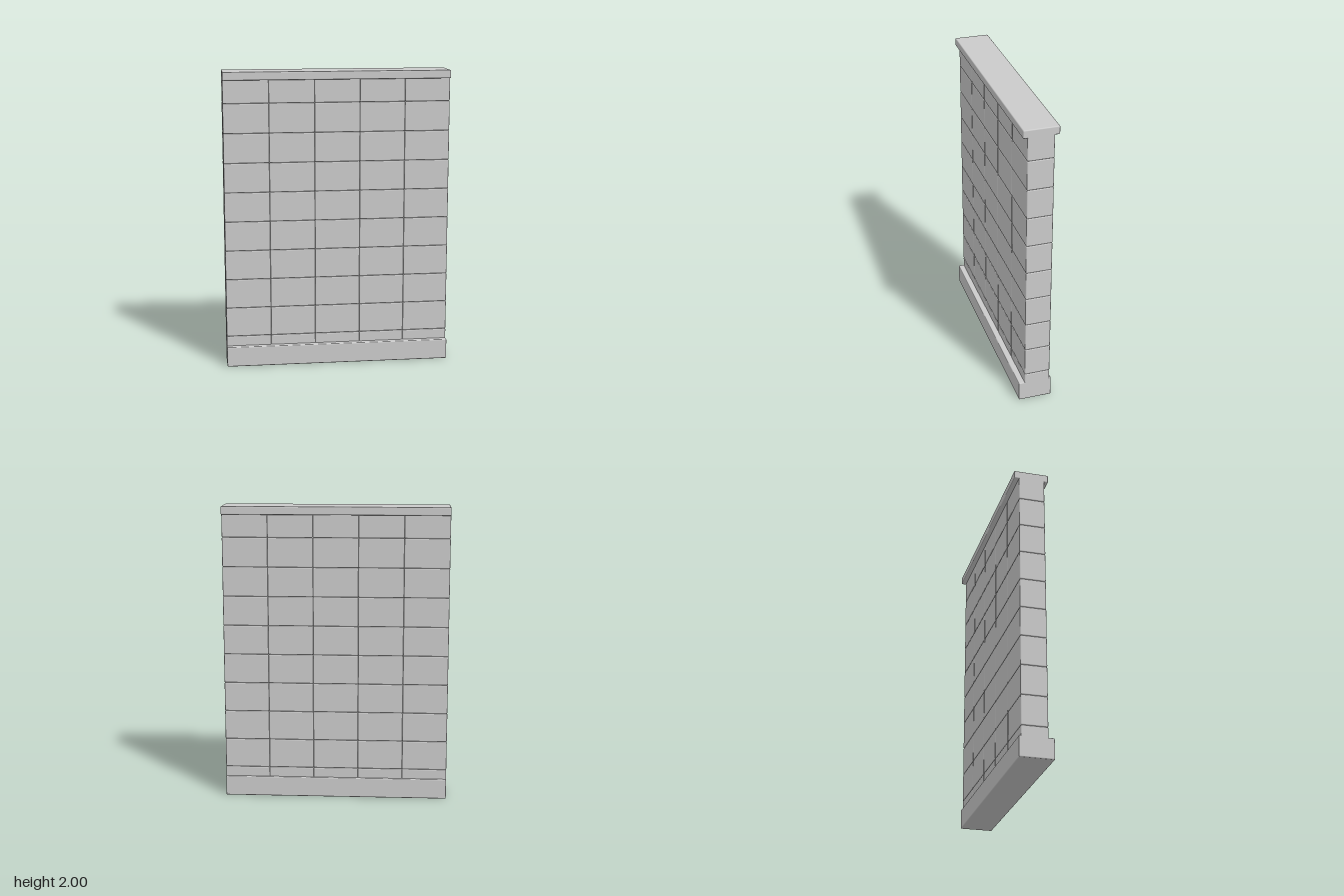
import * as THREE from 'three';
import { RoundedBoxGeometry } from 'three/addons/geometries/RoundedBoxGeometry.js';

const WIDTH = 1.52, COLUMNS = 5, ROWS = 10;

export function createModel() {
  const wall = new THREE.Group();
  wall.name = 'blockWall';
  const material = new THREE.MeshStandardMaterial({ color: 0xcccccc });

  // Softly bevelled box given by its extents in y and z
  function slab(name, width, y0, y1, z0, z1, x = 0) {
    const geometry = new RoundedBoxGeometry(width, y1 - y0, z1 - z0, 2, 0.007);
    const mesh = new THREE.Mesh(geometry, material);
    mesh.name = name;
    mesh.position.set(x, (y0 + y1) / 2, (z0 + z1) / 2);
    wall.add(mesh);
  }

  // Blocks stacked in straight columns, running into the base and the cap
  const blockWidth = WIDTH / COLUMNS;
  const bottom = 0.005, rowHeight = 0.1985;
  for (let row = 0; row < ROWS; row++) {
    for (let column = 0; column < COLUMNS; column++) {
      const x = (column - (COLUMNS - 1) / 2) * blockWidth;
      const y = bottom + row * rowHeight;
      slab('block', blockWidth, y, y + rowHeight, -0.09, 0.083, x);
    }
  }

  // Base stands out further in front, cap further behind
  slab('base', WIDTH, 0, 0.137, -0.102, 0.122);
  slab('cap', WIDTH, 1.945, 2, -0.122, 0.11);

  return wall;
}
